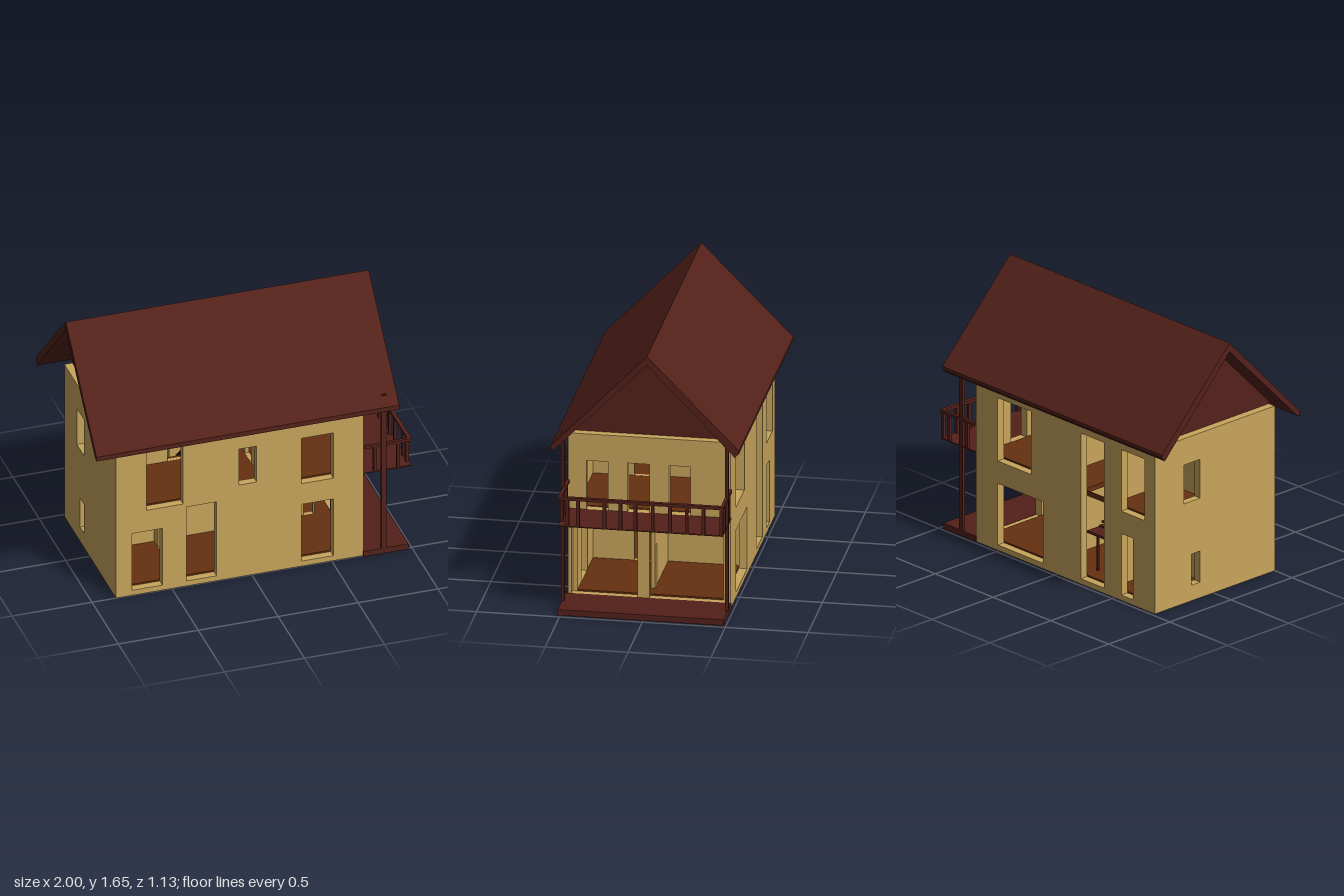
import * as THREE from 'three';

const paint = (color) => new THREE.MeshStandardMaterial({ color, flatShading: true });

export function createModel() {
  const house = new THREE.Group();
  house.name = 'house';
  const plaster = paint(0xc8a55c), timber = paint(0x54211a), boards = paint(0x66300f);
  const T = 0.05; // outer wall thickness

  const add = (name, geometry, material, parent = house) => {
    const mesh = new THREE.Mesh(geometry, material);
    mesh.name = name;
    parent.add(mesh);
    return mesh;
  };
  const group = (name) => {
    const g = new THREE.Group();
    g.name = name;
    house.add(g);
    return g;
  };
  // box given by its limits
  const box = (name, x0, x1, y0, y1, z0, z1, material, parent) => {
    const mesh = add(name, new THREE.BoxGeometry(x1 - x0, y1 - y0, z1 - z0), material, parent);
    mesh.position.set((x0 + x1) / 2, (y0 + y1) / 2, (z0 + z1) / 2);
    return mesh;
  };
  const rect = (Type, a0, a1, b0, b1) => {
    const p = new Type();
    p.moveTo(a0, b0).lineTo(a1, b0).lineTo(a1, b1).lineTo(a0, b1).closePath();
    return p;
  };
  // wall slab with openings [from, to, bottom, top]
  const panel = (a0, a1, y0, y1, depth, openings) => {
    const shape = rect(THREE.Shape, a0, a1, y0, y1);
    for (const o of openings) shape.holes.push(rect(THREE.Path, ...o));
    return new THREE.ExtrudeGeometry(shape, { depth, bevelEnabled: false });
  };
  // wall running along x, its back face at z
  const wallX = (name, z, a0, a1, y0, y1, openings, depth = T) => {
    add(name, panel(a0, a1, y0, y1, depth, openings), plaster).position.z = z;
  };
  // wall running along z, its +x face at x
  const wallZ = (name, x, a0, a1, y0, y1, openings, depth = T) => {
    const mesh = add(name, panel(a0, a1, y0, y1, depth, openings), plaster);
    mesh.rotation.y = -Math.PI / 2;
    mesh.position.x = x;
  };

  // outer walls
  wallX('frontWall', 0.45, -0.8, 0.65, 0, 1.06, [
    [-0.75, -0.56, 0.035, 0.43], [-0.41, -0.22, 0.035, 0.55], [0.31, 0.51, 0.035, 0.43],
    [-0.66, -0.43, 0.575, 0.98], [-0.08, 0.03, 0.64, 0.89], [0.31, 0.51, 0.575, 0.89],
  ]);
  wallX('backWall', -0.48, -0.8, 0.65, 0, 1.06, [
    [0.12, 0.51, 0.035, 0.43], [0.22, 0.51, 0.575, 0.98], [-0.41, -0.21, 0.035, 0.97],
    [-0.76, -0.56, 0.575, 0.97], [-0.66, -0.56, 0.035, 0.43],
  ]);
  wallZ('leftSideWall', 0.7, -0.48, 0.5, 0, 1.06, [
    [0.08, 0.48, 0.035, 0.55], [-0.46, 0.01, 0.035, 0.55],
    [0.26, 0.39, 0.58, 0.89], [0.01, 0.14, 0.58, 0.89], [-0.24, -0.11, 0.58, 0.89],
  ]);
  wallZ('rightSideWall', -0.8, -0.48, 0.5, 0, 1.06, [
    [-0.24, -0.11, 0.64, 0.89], [-0.18, -0.11, 0.1, 0.3],
  ]);

  // floors; the upper one has a stairwell
  box('baseSlab', -0.8, 0.65, 0, 0.03, -0.43, 0.45, plaster);
  box('groundFloor', -0.8, 0.65, 0.03, 0.045, -0.43, 0.45, boards);
  const upper = rect(THREE.Shape, -0.8, 0.65, -0.45, 0.43);
  upper.holes.push(rect(THREE.Path, -0.42, -0.18, 0.02, 0.42));
  const upperFloor = add('upperFloor',
    new THREE.ExtrudeGeometry(upper, { depth: 0.03, bevelEnabled: false }), boards);
  upperFloor.rotation.x = -Math.PI / 2;
  upperFloor.position.y = 0.555;

  // partitions on both storeys, with doorways
  for (const [label, y0, y1] of [['ground', 0.045, 0.555], ['upper', 0.585, 1.05]]) {
    const lo = y0 + 0.001, hi = y0 + 0.265;
    wallX(label + 'LongPartition', 0.0, -0.8, 0.55, y0, y1,
      [[-0.37, -0.26, lo, hi], [0.48, 0.54, lo, hi]], 0.025);
    wallZ(label + 'MiddlePartition', 0.12, 0.025, 0.45, y0, y1, [[0.08, 0.2, lo, hi]], 0.025);
    wallZ(label + 'MiddleBackPartition', 0.1, -0.43, 0, y0, y1, [], 0.025);
    wallZ(label + 'HallPartition', -0.43, -0.43, 0, y0, y1, [], 0.025);
    wallZ(label + 'HallFrontPartition', label === 'ground' ? -0.43 : -0.2, 0.025, 0.45, y0, y1,
      [[0.1, 0.22, lo, hi]], 0.025);
  }

  // staircase: two flights and a half landing
  const stairs = group('staircase');
  const steps = 12;
  for (let i = 0; i < steps; i++) {
    const t = (i + 0.5) / steps;
    const zLow = -0.05 - 0.27 * t, yLow = 0.045 + 0.27 * t;
    box('lowerStep', -0.34, -0.27, yLow - 0.006, yLow + 0.006, zLow - 0.016, zLow + 0.016, timber, stairs);
    const zHigh = -0.32 + 0.27 * t, yHigh = 0.315 + 0.27 * t;
    box('upperStep', -0.265, -0.2, yHigh - 0.006, yHigh + 0.006, zHigh - 0.016, zHigh + 0.016, timber, stairs);
  }
  box('landing', -0.41, -0.2, 0.31, 0.325, -0.42, -0.32, timber, stairs);
  for (const x of [-0.345, -0.21]) {
    box('landingPost', x, x + 0.012, 0.045, 0.32, -0.34, -0.328, timber, stairs);
  }

  // porch and its posts
  box('porchFloor', 0.695, 0.975, 0, 0.037, -0.485, 0.515, timber);
  box('frontPost', 0.805, 0.835, 0.037, 1.11, 0.5, 0.52, timber);
  box('backPost', 0.805, 0.835, 0.037, 1.1, -0.49, -0.47, timber);

  // balcony
  const balcony = group('balcony');
  box('balconyFloor', 0.7, 0.995, 0.574, 0.58, -0.485, 0.51, timber, balcony);
  box('outerRail', 0.975, 1.0, 0.745, 0.763, -0.49, 0.51, timber, balcony);
  for (const z of [-0.49, 0.49]) {
    box('sideRail', 0.7, 0.975, 0.745, 0.763, z, z + 0.02, timber, balcony);
  }
  const baluster = (x, z) =>
    box('baluster', x - 0.01, x + 0.01, 0.58, 0.745, z - 0.01, z + 0.01, timber, balcony);
  for (const z of [0.455, 0.39, 0.23, 0.135, 0.045, -0.06, -0.165, -0.265, -0.365, -0.475]) {
    baluster(0.985, z);
  }
  for (const [x, z] of [[0.77, 0.5], [0.915, 0.5], [0.77, -0.48], [0.925, -0.48]]) baluster(x, z);

  // profile in (z, y) drawn out along x
  const alongX = (name, points, x0, x1) => {
    const shape = new THREE.Shape(points.map(([z, y]) => new THREE.Vector2(-z, y)));
    const geometry = new THREE.ExtrudeGeometry(shape, { depth: x1 - x0, bevelEnabled: false });
    const mesh = add(name, geometry, timber);
    mesh.rotation.y = Math.PI / 2;
    mesh.position.x = x0;
  };
  // roof slopes and gables
  alongX('frontRoof', [[0.57, 1.05], [-0.01, 1.655], [-0.01, 1.6], [0.55, 1.025], [0.57, 1.02]], -0.995, 0.9);
  alongX('backRoof', [[-0.01, 1.655], [-0.565, 1.09], [-0.565, 1.07], [-0.54, 1.045], [-0.01, 1.6]], -1.0, 0.9);
  const gable = [[0.5, 1.06], [-0.49, 1.06], [-0.49, 1.1], [-0.01, 1.61], [0.5, 1.08]];
  alongX('leftGable', gable, 0.63, 0.65);
  alongX('rightGable', gable, -0.8, -0.78);

  return house;
}
